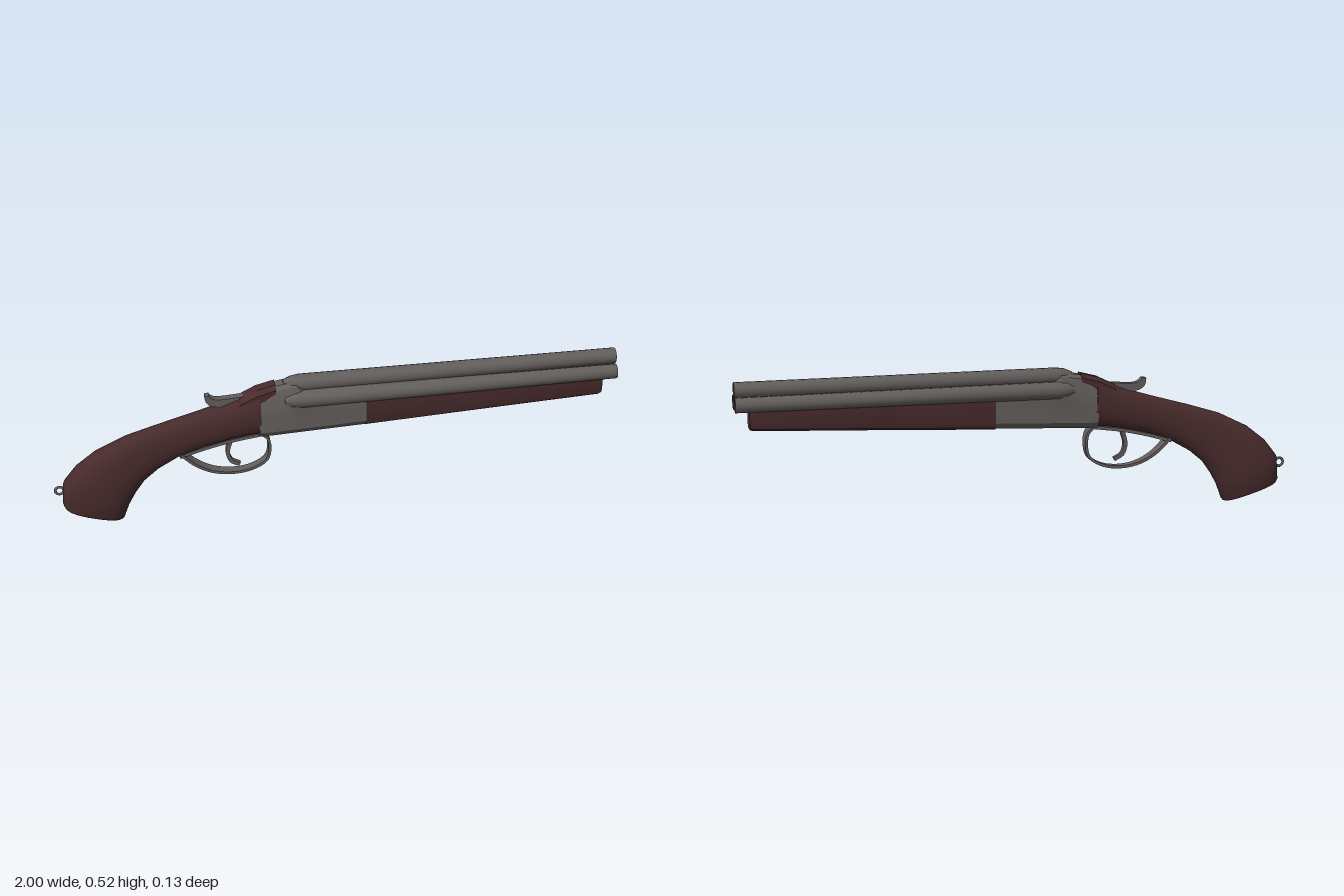
import * as THREE from 'three';
import { toCreasedNormals } from 'three/addons/utils/BufferGeometryUtils.js';

const metal = new THREE.MeshStandardMaterial({ color: 0x625e5c });
metal.name = 'gunmetal';
const wood = new THREE.MeshStandardMaterial({ color: 0x482b2c });
wood.name = 'dark wood';

// Skin a list of equal rings of Vector3 and close both ends.
function loft(rings, crease = 0.6) {
  const n = rings[0].length, pos = [], idx = [];
  for (const ring of rings) for (const p of ring) pos.push(p.x, p.y, p.z);
  for (let i = 0; i < rings.length - 1; i++) {
    for (let j = 0; j < n; j++) {
      const a = i * n + j, b = i * n + (j + 1) % n;
      idx.push(a, b, b + n, a, b + n, a + n);
    }
  }
  for (const end of [0, rings.length - 1]) {
    const c = new THREE.Vector3();
    rings[end].forEach(p => c.addScaledVector(p, 1 / n));
    const k = pos.length / 3;
    pos.push(c.x, c.y, c.z);
    for (let j = 0; j < n; j++) {
      const a = end * n + j, b = end * n + (j + 1) % n;
      if (end === 0) idx.push(k, b, a); else idx.push(k, a, b);
    }
  }
  const g = new THREE.BufferGeometry();
  g.setAttribute('position', new THREE.Float32BufferAttribute(pos, 3));
  g.setIndex(idx);
  return toCreasedNormals(g, crease);
}

// Mirror half a section, given as [z, y] from top to bottom, into a ring at x.
function section(x, half) {
  const left = half.map(([z, y]) => new THREE.Vector3(x, y, z));
  const right = half.map(([z, y]) => new THREE.Vector3(x, y, -z)).reverse();
  return [...left, ...right];
}

// Flat strip following a curve in the xy plane; width(t) is its half-width in z.
function strip(points, thick, width, steps = 24) {
  const curve = new THREE.CatmullRomCurve3(points.map(([x, y]) => new THREE.Vector3(x, y, 0)));
  const rings = [];
  for (let i = 0; i <= steps; i++) {
    const t = i / steps, p = curve.getPoint(t), d = curve.getTangent(t);
    const nrm = new THREE.Vector3(-d.y, d.x, 0), w = width(t);
    rings.push([[1, -1], [1, 1], [-1, 1], [-1, -1]].map(([a, b]) =>
      p.clone().addScaledVector(nrm, a * thick).setZ(b * w)));
  }
  return loft(rings);
}

export function createModel() {
  const model = new THREE.Group();
  model.name = 'shortShotgun';
  const add = (name, geometry, material) => {
    const m = new THREE.Mesh(geometry, material);
    m.name = name;
    model.add(m);
    return m;
  };

  // Three tapered barrels with open bores
  const barrels = [
    ['topBarrel', 0.491, 0, 0.031, 0.028, 0.022],
    ['leftBarrel', 0.445, 0.032, 0.032, 0.026, 0.0225],
    ['rightBarrel', 0.445, -0.032, 0.032, 0.026, 0.0225],
  ];
  for (const [name, y, z, back, front, bore] of barrels) {
    const turned = profile => toCreasedNormals(
      new THREE.LatheGeometry(profile.map(p => new THREE.Vector2(...p)), 14)
        .rotateZ(-Math.PI / 2).translate(0, y, z), 0.7);
    add(name, turned([[0, -0.19], [back * 0.5, -0.185], [back * 0.85, -0.16],
      [back, -0.13], [front, 1], [bore, 1]]), metal);
    add(name + 'Bore', turned([[bore, 1], [bore, 0.4], [0, 0.4]]), wood);
  }

  // Web joining the barrels
  const web = [[0.017, 0.473], [0.017, 0.466], [0.006, 0.445], [0.006, 0.425]];
  add('barrelWeb', loft([section(-0.13, web), section(0.997, web)]), metal);

  // Receiver: narrow at the grip, flaring out to the barrel breech
  const body = (x, top, wTop, wMid, yMid, bottom, w = 0.048) => section(x, [
    [wTop * 0.55, top], [wTop, top - 0.012], [wMid, yMid], [w, yMid - 0.045],
    [w, bottom + 0.02], [w * 0.75, bottom]]);
  add('receiver', loft([
    body(-0.275, 0.474, 0.03, 0.044, 0.42, 0.306, 0.045),
    body(-0.23, 0.492, 0.032, 0.044, 0.43, 0.307),
    body(-0.185, 0.5, 0.033, 0.047, 0.435, 0.309),
    body(-0.14, 0.505, 0.033, 0.056, 0.438, 0.311),
    body(-0.09, 0.46, 0.03, 0.05, 0.43, 0.313),
    body(0.105, 0.45, 0.03, 0.046, 0.42, 0.321),
  ], 0.4), metal);

  // Wooden forend under the barrels
  const forend = (x, bottom, w) => section(x, [
    [w * 0.6, 0.432], [w, 0.42], [w, bottom + 0.025], [w * 0.9, bottom + 0.008], [w * 0.65, bottom]]);
  add('forend', loft([forend(0.1, 0.317, 0.049), forend(0.5, 0.335, 0.046),
    forend(0.94, 0.353, 0.041), forend(0.952, 0.357, 0.038)], 0.5), wood);

  // Curved pistol grip: top x, y, bottom x, y, half-width
  const grip = [
    [-0.966, 0.066, -0.764, 0.004, 0.05],
    [-0.972, 0.08, -0.757, 0.012, 0.054],
    [-0.965, 0.165, -0.737, 0.065, 0.058],
    [-0.92, 0.222, -0.712, 0.11, 0.054],
    [-0.85, 0.277, -0.68, 0.155, 0.048],
    [-0.74, 0.331, -0.63, 0.197, 0.041],
    [-0.62, 0.368, -0.56, 0.237, 0.037],
    [-0.49, 0.404, -0.47, 0.27, 0.04],
    [-0.4, 0.431, -0.37, 0.293, 0.044],
    [-0.32, 0.461, -0.31, 0.303, 0.047],
    [-0.272, 0.484, -0.266, 0.306, 0.048],
  ];
  const soft = v => Math.sign(v) * Math.abs(v) ** 0.8;
  add('grip', loft(grip.map(([tx, ty, bx, by, w]) => Array.from({ length: 18 }, (_, j) => {
    const a = j / 18 * Math.PI * 2, k = (1 - soft(Math.cos(a))) / 2;
    return new THREE.Vector3(tx + (bx - tx) * k, ty + (by - ty) * k, w * soft(Math.sin(a)));
  })), 0.7), wood);

  // Wooden tang over the rear of the receiver
  const tang = (x, top, w) => section(x, [[w * 0.5, top], [w, top - 0.014], [w, top - 0.05]]);
  add('gripTang', loft([tang(-0.34, 0.455, 0.034), tang(-0.28, 0.484, 0.037),
    tang(-0.215, 0.501, 0.035)]), wood);

  // Hammer with a curled thumb spur
  const spur = new THREE.Shape();
  spur.moveTo(-0.31, 0.44);
  spur.lineTo(-0.31, 0.463);
  spur.quadraticCurveTo(-0.36, 0.458, -0.41, 0.456);
  spur.quadraticCurveTo(-0.437, 0.458, -0.444, 0.474);
  spur.lineTo(-0.459, 0.473);
  spur.quadraticCurveTo(-0.462, 0.435, -0.42, 0.428);
  spur.lineTo(-0.4, 0.405);
  spur.lineTo(-0.34, 0.42);
  add('hammer', toCreasedNormals(new THREE.ExtrudeGeometry(spur, {
    depth: 0.026, bevelEnabled: false, curveSegments: 6 }).translate(0, 0, -0.013), 0.6), metal);

  // Trigger guard, its plate along the grip, and the trigger
  add('triggerGuard', strip([[-0.55, 0.25], [-0.5, 0.2], [-0.44, 0.166], [-0.37, 0.153],
    [-0.3, 0.163], [-0.25, 0.195], [-0.238, 0.24], [-0.245, 0.285], [-0.27, 0.31]],
    0.005, t => 0.016 + 0.009 * Math.abs(2 * t - 1) ** 2, 36), metal);
  add('triggerPlate', strip([[-0.555, 0.24], [-0.46, 0.268], [-0.37, 0.288], [-0.26, 0.304]],
    0.006, () => 0.02, 10), metal);
  add('trigger', strip([[-0.372, 0.29], [-0.386, 0.235], [-0.374, 0.198], [-0.345, 0.181]],
    0.007, t => 0.011 - 0.003 * t, 12), metal);

  // Lanyard ring on the butt
  add('lanyardRing', new THREE.TorusGeometry(0.015, 0.005, 6, 14).translate(-0.98, 0.135, 0), metal);

  return model;
}
